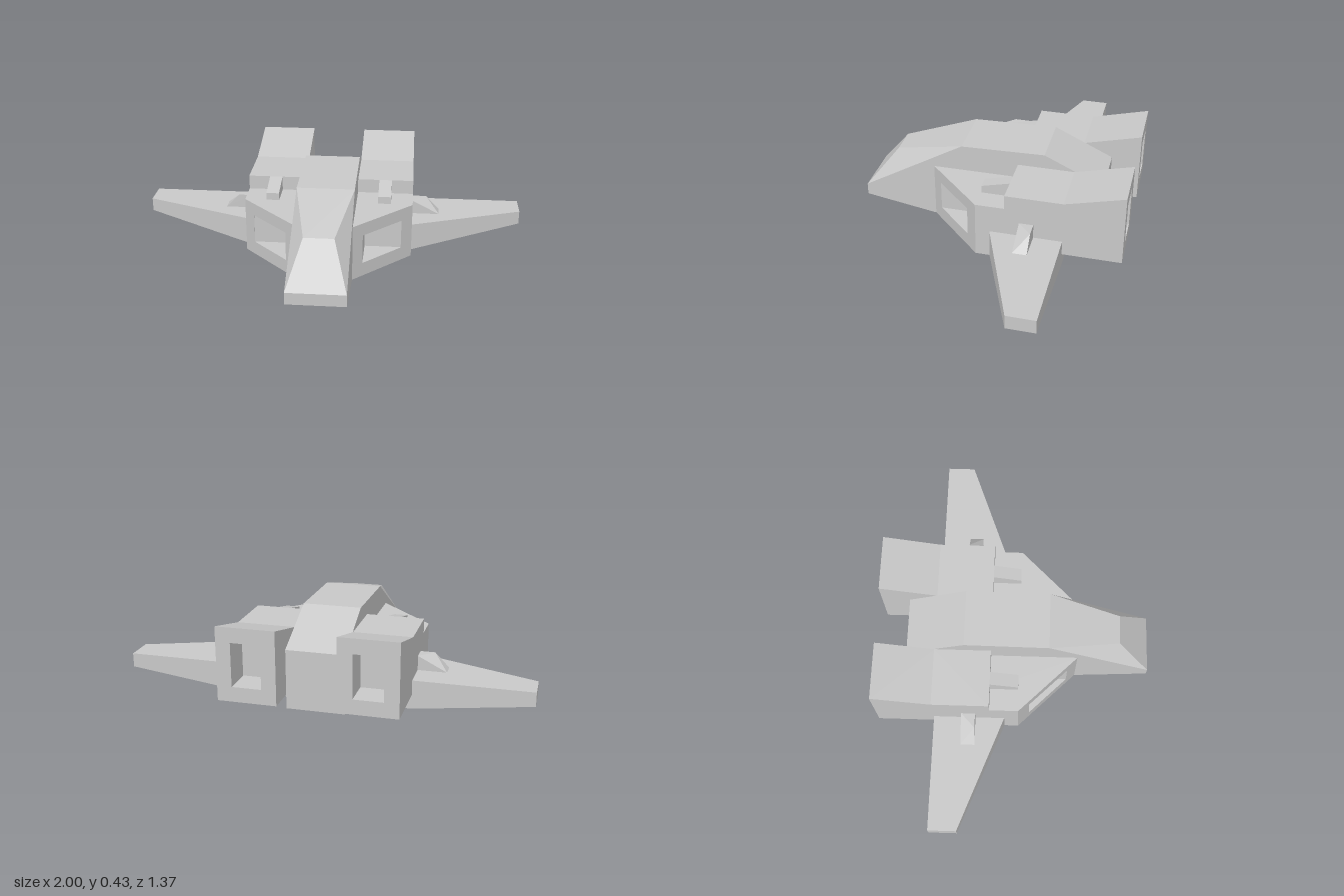
import * as THREE from 'three';

const hullGrey = new THREE.MeshStandardMaterial({ color: 0xc8c8c8 });
hullGrey.name = 'hull grey';

// Mesh from a list of convex polygons, flat shaded by unshared corners
function solid(name, polys) {
  const pos = [];
  for (const p of polys)
    for (let i = 1; i < p.length - 1; i++) pos.push(...p[0], ...p[i], ...p[i + 1]);
  const geo = new THREE.BufferGeometry();
  geo.setAttribute('position', new THREE.Float32BufferAttribute(pos, 3));
  geo.computeVertexNormals();
  const mesh = new THREE.Mesh(geo, hullGrey);
  mesh.name = name;
  return mesh;
}

// Joins loop a (counter-clockwise from outside) to the matching loop b
function loft(a, b, capA = true) {
  const polys = a.map((p, i) => {
    const j = (i + 1) % a.length;
    return [p, b[i], b[j], a[j]];
  });
  if (capA) polys.push(a);
  polys.push([...b].reverse());
  return polys;
}

// Rectangular face with a pocket sunk to a back loop
function pocket(outer, inner, back) {
  const polys = [back];
  outer.forEach((p, i) => {
    const j = (i + 1) % outer.length;
    polys.push([p, outer[j], inner[j], inner[i]], [inner[i], inner[j], back[j], back[i]]);
  });
  return polys;
}

const mirror = (polys) => polys.map((p) => p.map(([x, y, z]) => [-x, y, z]).reverse());

// Side profile of [z, y] points placed at a given x
const at = (x, profile) => profile.map(([z, y]) => [x, y, z]);
const slab = (x0, x1, profile, cap = true) => loft(at(x1, profile), at(x0, profile), cap);

export function createModel() {
  const model = new THREE.Group();
  model.name = 'spacecraft';
  const IN = 0.143, OUT = 0.428;

  // Central fuselage
  model.add(solid('fuselage', slab(-IN, IN, [
    [0.686, 0.06], [0.32, 0], [-0.545, 0], [-0.545, 0.293],
    [-0.25, 0.43], [0.17, 0.42], [0.686, 0.12],
  ])));

  // Faceted canopy rising over the sloped nose
  const c = 0.073;
  const nl = [IN, 0.12, 0.686], nr = [-IN, 0.12, 0.686];
  const al = [c, 0.322, 0.525], ar = [-c, 0.322, 0.525];
  const tl = [IN, 0.42, 0.17], tr = [-IN, 0.42, 0.17];
  model.add(solid('canopy', [
    [nr, nl, al, ar], [ar, al, tl, tr], [nl, tl, al], [nr, ar, tr],
  ]));

  // Side hull with a slanted front holding the air intake
  const slant = (x) => 0.315 - ((x - IN) * 0.29) / (OUT - IN);
  const rect = (x0, x1, y0, y1, z) =>
    [[x0, y0], [x1, y0], [x1, y1], [x0, y1]].map(([x, y]) => [x, y, z(x)]);
  const front = rect(IN, OUT, 0, 0.285, slant);
  const rear = rect(IN, OUT, 0, 0.285, () => -0.4);
  const hull = [
    ...loft(front, rear, false),
    ...pocket(front, rect(0.19, 0.375, 0.07, 0.22, slant), rect(0.19, 0.375, 0.07, 0.22, () => 0.075)),
  ];

  // Raised deck and the small cannon in front of it
  const deck = slab(IN, OUT, [[-0.118, 0.285], [-0.4, 0.285], [-0.4, 0.357], [-0.118, 0.357]]);
  const cannon = slab(0.253, 0.318, [[0.022, 0.285], [-0.118, 0.285], [-0.118, 0.357], [0.022, 0.322]]);

  // Flared engine with a recessed exhaust
  const engineRear = rect(OUT, IN, 0.07, 0.43, () => -0.688);
  const engineFront = [[OUT, 0.07, -0.4], [IN, 0.07, -0.4], [IN, 0.357, -0.4], [OUT, 0.357, -0.4]];
  const engine = [
    ...loft(engineRear, engineFront, false),
    ...pocket(engineRear, rect(0.357, 0.214, 0.143, 0.357, () => -0.688),
      rect(0.357, 0.214, 0.143, 0.357, () => -0.54)),
  ];

  // Swept wing with a rising underside
  const wing = loft(
    at(1, [[-0.26, 0.073], [-0.4, 0.073], [-0.4, 0.143], [-0.26, 0.143]]),
    at(OUT, [[-0.045, 0], [-0.4, 0], [-0.4, 0.143], [-0.045, 0.143]]),
  );

  const parts = { sideHull: hull, deck, cannon, engine, wing };
  for (const [name, polys] of Object.entries(parts)) {
    model.add(solid(name + 'Left', polys), solid(name + 'Right', mirror(polys)));
  }

  // Faceted wing blisters, the right one turned half round
  const zf = -0.19, zb = -0.26, lo = 0.143, hi = 0.215;
  const b0 = [OUT, lo, zf], b1 = [0.57, lo, zf], b2 = [0.57, lo, zb], b3 = [OUT, lo, zb];
  const t0 = [OUT, hi, zf], t3 = [OUT, hi, zb], peak = [0.5, hi, zb];
  const blister = [[t0, peak, t3], [b0, b1, t0], [b1, peak, t0], [b1, b2, peak], [b2, b3, t3, peak]];
  const right = solid('wingBlisterRight', blister);
  right.rotation.y = Math.PI;
  right.position.z = zf + zb;
  model.add(solid('wingBlisterLeft', blister), right);

  return model;
}
